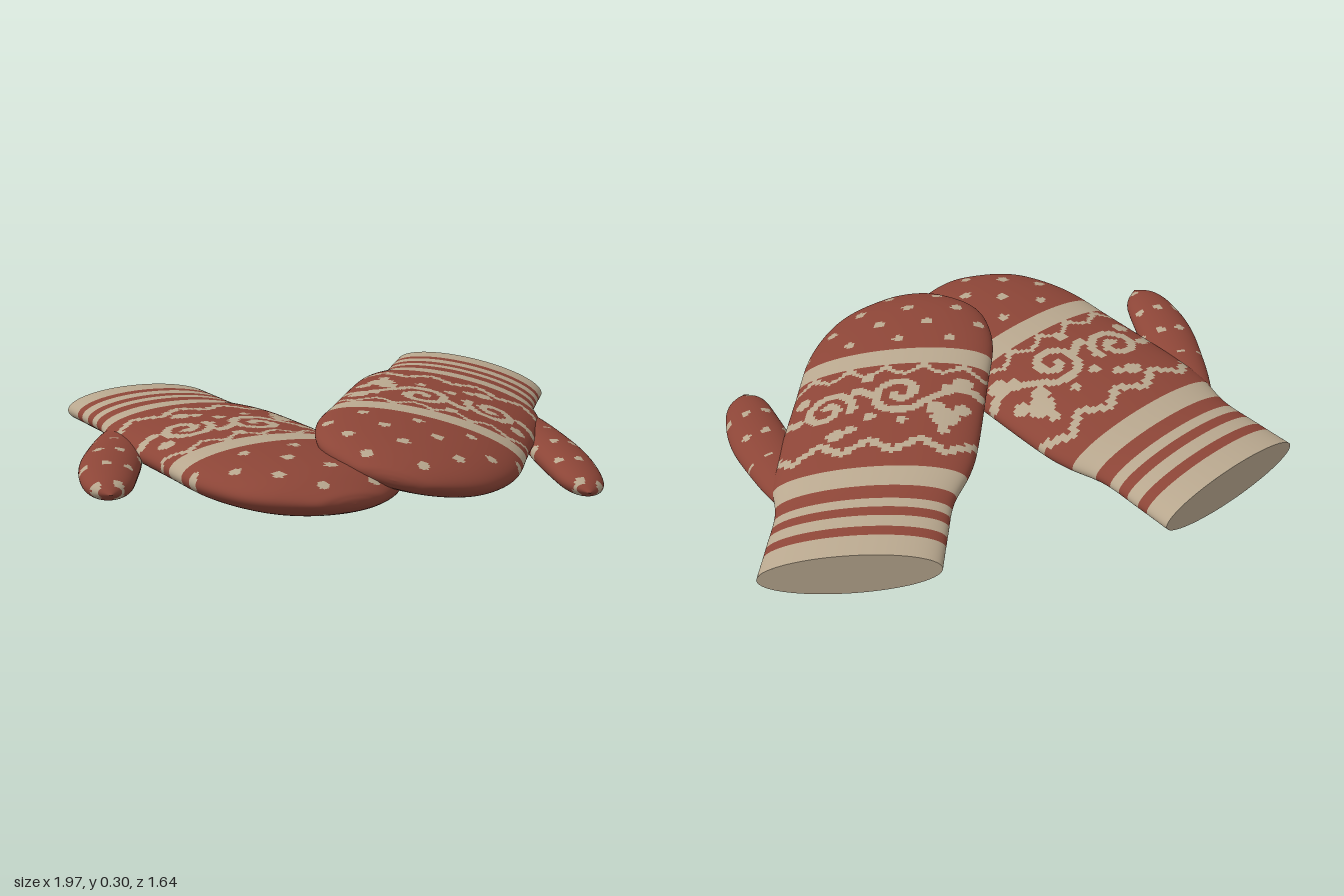
import * as THREE from 'three';

const V2 = (x, y) => new THREE.Vector2(x, y);

// Half-width of the hand against the distance from the cuff (x = distance, y = half-width)
const HAND = new THREE.SplineCurve([
  V2(0, 0.307), V2(0.15, 0.306), V2(0.31, 0.309), V2(0.46, 0.348), V2(0.6, 0.362), V2(0.95, 0.362),
  V2(1.19, 0.36), V2(1.36, 0.32), V2(1.47, 0.255), V2(1.56, 0.14), V2(1.585, 0.07), V2(1.592, 0),
]);
const FLATNESS = 0.262;

// Thumb centre line (sideways, up, along) and its half-widths
const THUMB_PATH = new THREE.CatmullRomCurve3([
  new THREE.Vector3(0.28, -0.01, 0.43), new THREE.Vector3(0.4, -0.02, 0.65), new THREE.Vector3(0.51, -0.03, 0.85),
  new THREE.Vector3(0.575, -0.035, 1.0), new THREE.Vector3(0.606, -0.035, 1.09),
]);
const THUMB = new THREE.SplineCurve([
  V2(0, 0.06), V2(0.2, 0.085), V2(0.5, 0.104), V2(0.75, 0.093), V2(0.9, 0.066), V2(1, 0),
]);

// Knitted motif: thick strokes and blobs as discs [sideways, along, radius]
function makeMotif() {
  const discs = [
    [-0.25, 0.69, 0.05], [-0.21, 0.74, 0.035], [-0.3, 0.74, 0.03], [-0.25, 0.62, 0.022],
    [0.13, 0.615, 0.032], [0.08, 0.64, 0.022], [-0.29, 0.89, 0.035], [-0.24, 0.86, 0.022],
    [0.3, 0.86, 0.03], [0.06, 0.93, 0.022], [0.02, 0.7, 0.024], [-0.1, 0.67, 0.02],
  ];
  const spiral = (cx, cy, radius, start, turn) => {
    for (let i = 0; i <= 60; i++) {
      const t = i / 60, r = radius * (1 - 0.8 * t), a = start + turn * t;
      discs.push([cx + r * Math.cos(a), cy + r * Math.sin(a), 0.018]);
    }
  };
  spiral(-0.07, 0.83, 0.11, -2.6, 8.5);
  spiral(0.19, 0.77, 0.1, 3.4, -8.5);
  // vine stems joining the scrolls
  for (let i = 0; i <= 50; i++) {
    const w = -0.35 + (0.7 * i) / 50;
    if (Math.abs(w + 0.07) > 0.1 && Math.abs(w - 0.19) > 0.09) discs.push([w, 0.8 + 0.06 * Math.sin(w * 16), 0.019]);
  }
  return discs;
}
const MOTIF = makeMotif();

// Staggered dots
function dotted(w, s, pitch, radius, row) {
  const r = Math.round(s / row);
  const x = w / pitch + (r % 2 ? 0.5 : 0);
  return Math.hypot((x - Math.round(x)) * pitch, s - r * row) < radius;
}

// Stepped zigzag line
function zigzag(w, s, centre, height, period, width) {
  const p = Math.abs((((w / period) % 1) + 1) % 1 - 0.5) * 4 - 1;
  const step = Math.round(p * 2) / 2;
  return Math.abs(s - centre - step * height) < width;
}

// true = cream stitch, false = red stitch
function handPattern(w, s) {
  if (s < 0.43) return !((s > 0.095 && s < 0.14) || (s > 0.185 && s < 0.228) || (s > 0.278 && s < 0.335));
  if (s > 1.01 && s < 1.1) return true;
  if (s > 1.1) return dotted(w + 0.02, s - 1.17, 0.19, 0.021, 0.115);
  if (zigzag(w, s, 0.535, 0.032, 0.18, 0.018) || zigzag(w, s, 0.965, 0.022, 0.14, 0.014)) return true;
  return MOTIF.some(([x, y, r]) => Math.hypot(w - x, s - y) < r);
}

// Loft of elliptical sections; each face takes the colour of its stitch
function knit(rows, cols, side, section, pattern) {
  const pos = [], cream = [], red = [];
  const sections = [];
  for (let i = 0; i <= rows; i++) {
    const sec = section(i / rows);
    sections.push(sec);
    for (let j = 0; j < cols; j++) {
      const a = (j / cols) * Math.PI * 2, k = Math.cos(a) * sec.half;
      pos.push(side * (sec.x + k * sec.dx), sec.y + Math.sin(a) * sec.thick, sec.z + k * sec.dz);
    }
  }
  for (let i = 0; i < rows; i++) {
    const s = (sections[i].s + sections[i + 1].s) / 2, half = (sections[i].half + sections[i + 1].half) / 2;
    for (let j = 0; j < cols; j++) {
      const n = (j + 1) % cols;
      const a = i * cols + j, b = i * cols + n, c = a + cols, d = b + cols;
      const list = pattern(Math.cos(((j + 0.5) / cols) * Math.PI * 2) * half, s) ? cream : red;
      if (side > 0) list.push(a, b, d, a, d, c);
      else list.push(a, d, b, a, c, d);
    }
  }
  const geo = new THREE.BufferGeometry();
  geo.setAttribute('position', new THREE.Float32BufferAttribute(pos, 3));
  geo.setIndex([...red, ...cream]);
  geo.addGroup(0, red.length, 0);
  geo.addGroup(red.length, cream.length, 1);
  geo.computeVertexNormals();
  return geo;
}

function handSection(t) {
  const p = HAND.getPointAt(t), half = Math.max(0, p.y);
  return { x: 0, y: 0, z: p.x, dx: 1, dz: 0, half, thick: half * FLATNESS, s: p.x };
}

function thumbSection(t) {
  const p = THUMB.getPointAt(t), u = Math.min(1, Math.max(0, p.x)), half = Math.max(0, p.y);
  const c = THUMB_PATH.getPointAt(u), d = THUMB_PATH.getTangentAt(u);
  const l = Math.hypot(d.x, d.z);
  return { x: c.x, y: c.y, z: c.z, dx: d.z / l, dz: -d.x / l, half, thick: half * 0.55, s: u * 0.7 };
}

export function createModel() {
  const redWool = new THREE.MeshStandardMaterial({ color: 0x8c4537 });
  redWool.name = 'redWool';
  const creamWool = new THREE.MeshStandardMaterial({ color: 0xb8a78e });
  creamWool.name = 'creamWool';
  const wool = [redWool, creamWool];
  const model = new THREE.Group();
  model.name = 'mittens';

  const addMitten = (name, side, x, y, z, turn, roll) => {
    const mitten = new THREE.Group();
    mitten.name = name;
    const add = (part, geo, mat) => {
      const mesh = new THREE.Mesh(geo, mat);
      mesh.name = part;
      mitten.add(mesh);
      return mesh;
    };
    add('hand', knit(170, 150, side, handSection, handPattern), wool);
    add('thumb', knit(64, 56, side, thumbSection, (w, s) => dotted(w + 0.03, s - 0.05, 0.075, 0.017, 0.15) && s > 0.2), wool);
    // closed end of the cuff
    const cap = add('cuffEnd', new THREE.CircleGeometry(0.307, 75), creamWool);
    cap.scale.y = FLATNESS;
    cap.rotation.y = Math.PI;
    mitten.position.set(x, y, z);
    mitten.rotation.set(0, turn, roll, 'YXZ');
    model.add(mitten);
  };
  addMitten('leftMitten', 1, 0.73, 0.18, -0.675, -0.493, -0.19);
  addMitten('rightMitten', -1, -0.635, 0.137, -0.72, 0.296, -0.05);
  return model;
}
